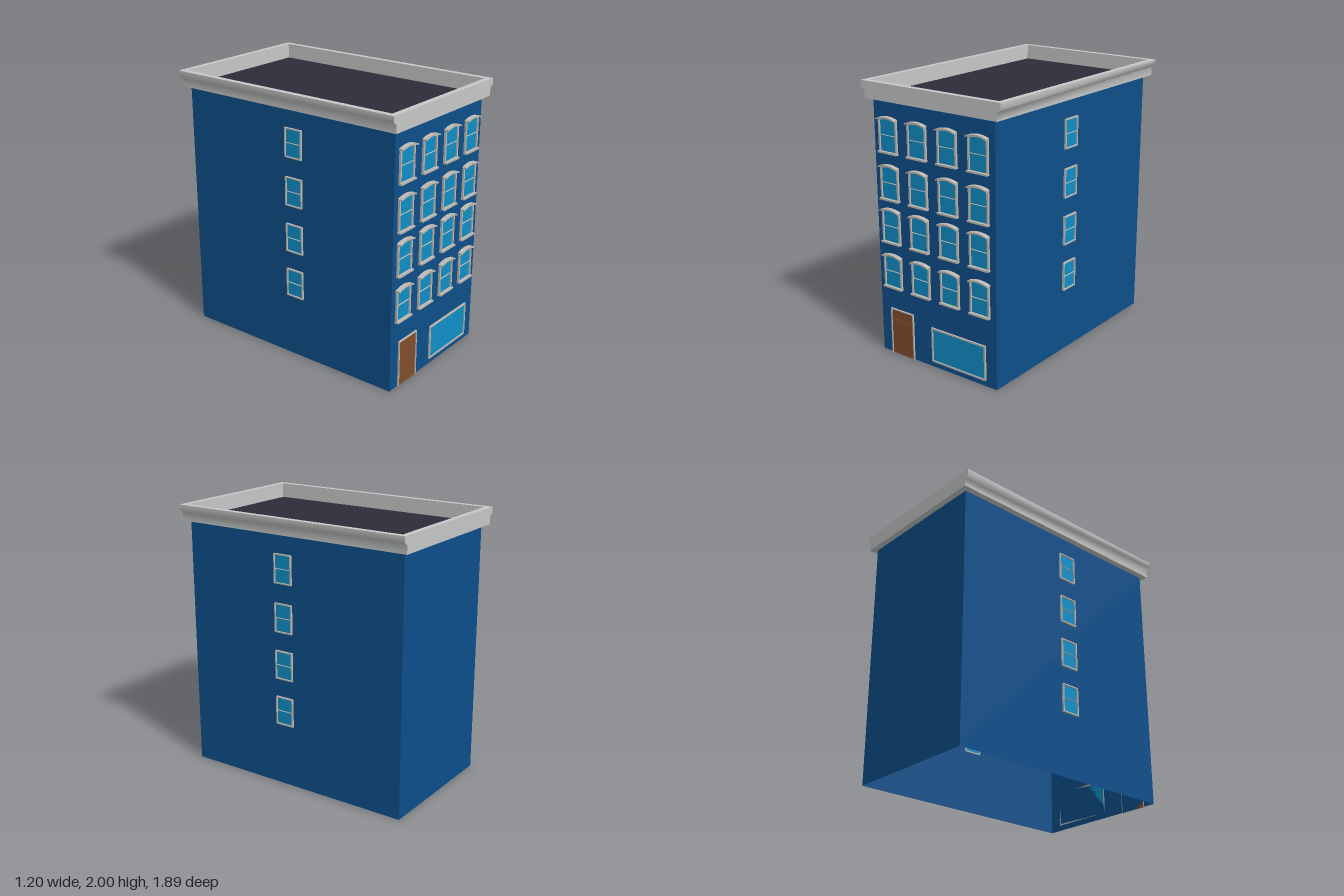
import * as THREE from 'three';
import { toCreasedNormals } from 'three/addons/utils/BufferGeometryUtils.js';

const mat = (name, color, side = THREE.FrontSide) => {
  const m = new THREE.MeshStandardMaterial({ color, side });
  m.name = name;
  return m;
};

export function createModel() {
  const model = new THREE.Group();
  model.name = 'townBuilding';
  const wallMat = mat('blue wall', 0x0d4f8b, THREE.DoubleSide);
  const glassMat = mat('window glass', 0x0f8fc8);
  const trimMat = mat('window trim', 0xbfb9b2);
  const corniceMat = mat('cornice grey', 0xc6c9c8);
  const roofMat = mat('dark roof', 0x2d2c3a);
  const doorMat = mat('brown door', 0x804d2b);

  const add = (parent, name, geometry, material, x = 0, y = 0, z = 0) => {
    const mesh = new THREE.Mesh(geometry, material);
    mesh.name = name;
    mesh.position.set(x, y, z);
    parent.add(mesh);
    return mesh;
  };
  const box = (parent, name, w, h, d, material, x, y, z) =>
    add(parent, name, new THREE.BoxGeometry(w, h, d), material, x, y, z);

  // Outline standing on y = 0, with a top that rises by "rise" in a shallow arch
  const outline = (Type, w, y0, y1, rise) => {
    const s = new Type();
    s.moveTo(-w / 2, y0);
    s.lineTo(w / 2, y0);
    s.lineTo(w / 2, y1 - rise);
    if (rise) s.quadraticCurveTo(0, y1 + rise, -w / 2, y1 - rise);
    else s.lineTo(-w / 2, y1);
    s.closePath();
    return s;
  };
  const extrude = (shape, depth, z = 0) =>
    new THREE.ExtrudeGeometry(shape, { depth, bevelEnabled: false, curveSegments: 8 }).translate(0, 0, z);

  // Framed opening: surround with a hole, and a panel set inside it
  const opening = (name, w, h, t, rise, depth, panelMat, back = 0) => {
    const g = new THREE.Group();
    g.name = name;
    const frame = outline(THREE.Shape, w, 0, h, rise);
    frame.holes.push(outline(THREE.Path, w - 2 * t, t, h - t, rise));
    add(g, 'frame', extrude(frame, depth - back, back), trimMat);
    const panel = outline(THREE.Shape, w - 2 * t, t, h - t, rise);
    add(g, 'panel', extrude(panel, 0.005 - back, back), panelMat);
    model.add(g);
    return g;
  };

  // Walls: a box open at the bottom
  const W = 0.527, FRONT = 0.905, BACK = -0.9, EAVE = 1.878;
  const shell = new THREE.BoxGeometry(2 * W, EAVE, FRONT - BACK);
  const idx = Array.from(shell.index.array);
  shell.setIndex([...idx.slice(0, 18), ...idx.slice(24)]);
  shell.clearGroups();
  add(model, 'walls', shell, wallMat, 0, EAVE / 2, (FRONT + BACK) / 2);

  // Cornice: moulded sides with plain front and back rims
  const Z = 0.943, RIM = 0.042;
  for (const side of [-1, 1]) {
    const p = new THREE.Shape([
      [0.56, EAVE], [0.572, EAVE], [0.572, 1.936], [0.602, 1.957], [0.602, 2], [0.56, 2],
    ].map(([x, y]) => new THREE.Vector2(x * side, y)));
    const geo = extrude(p, 2 * Z, -Z);
    add(model, side > 0 ? 'leftCornice' : 'rightCornice', toCreasedNormals(geo, 1.15), corniceMat);
    box(model, side > 0 ? 'frontCornice' : 'backCornice', 1.12, 2 - EAVE, RIM, corniceMat,
      0, (2 + EAVE) / 2, side * (Z - RIM / 2));
  }
  box(model, 'corniceSoffit', 1.12, 0.006, 1.81, corniceMat, 0, EAVE + 0.003, 0);
  box(model, 'roof', 1.12, 0.006, 1.804, roofMat, 0, EAVE + 0.009, 0);

  // Front windows: arched frame, projecting hood, sill and meeting rail
  const hood = new THREE.Shape();
  hood.moveTo(-0.085, 0.234);
  hood.quadraticCurveTo(0, 0.264, 0.085, 0.234);
  hood.lineTo(0.085, 0.245);
  hood.quadraticCurveTo(0, 0.277, -0.085, 0.245);
  hood.closePath();
  for (const y of [0.513, 0.852, 1.169, 1.508]) {
    for (const x of [-0.397, -0.133, 0.131, 0.393]) {
      const g = opening('frontWindow', 0.166, 0.254, 0.013, 0.013, 0.015, glassMat);
      add(g, 'hood', extrude(hood, 0.035), trimMat);
      box(g, 'sill', 0.172, 0.013, 0.028, trimMat, 0, 0.0065, 0.014);
      box(g, 'meetingRail', 0.14, 0.003, 0.014, trimMat, 0, 0.128, 0.007);
      g.position.set(x, y, FRONT);
    }
  }

  // Side windows, the same on both walls
  for (const side of [-1, 1]) {
    for (const y of [0.47, 0.819, 1.169, 1.524]) {
      const g = opening('sideWindow', 0.147, 0.214, 0.009, 0, 0.015, glassMat, -0.006);
      box(g, 'meetingRail', 0.13, 0.003, 0.014, trimMat, 0, 0.107, 0.007);
      g.rotation.y = side * Math.PI / 2;
      g.position.set(side * W, y, 0.069);
    }
  }

  // Shop window and door at street level
  const shop = opening('shopWindow', 0.484, 0.262, 0.012, 0, 0.012, glassMat);
  shop.position.set(0.195, 0.042, FRONT);

  const door = new THREE.Group();
  door.name = 'door';
  door.position.set(-0.327, 0, FRONT);
  model.add(door);
  box(door, 'doorLeaf', 0.2, 0.344, 0.005, doorMat, 0, 0.172, 0.0025);
  box(door, 'doorRail', 0.2, 0.003, 0.01, doorMat, 0, 0.27, 0.005);
  for (const s of [-1, 1]) box(door, 'doorJamb', 0.008, 0.352, 0.012, trimMat, s * 0.104, 0.176, 0.006);
  box(door, 'doorLintel', 0.2, 0.008, 0.012, trimMat, 0, 0.348, 0.006);

  return model;
}
